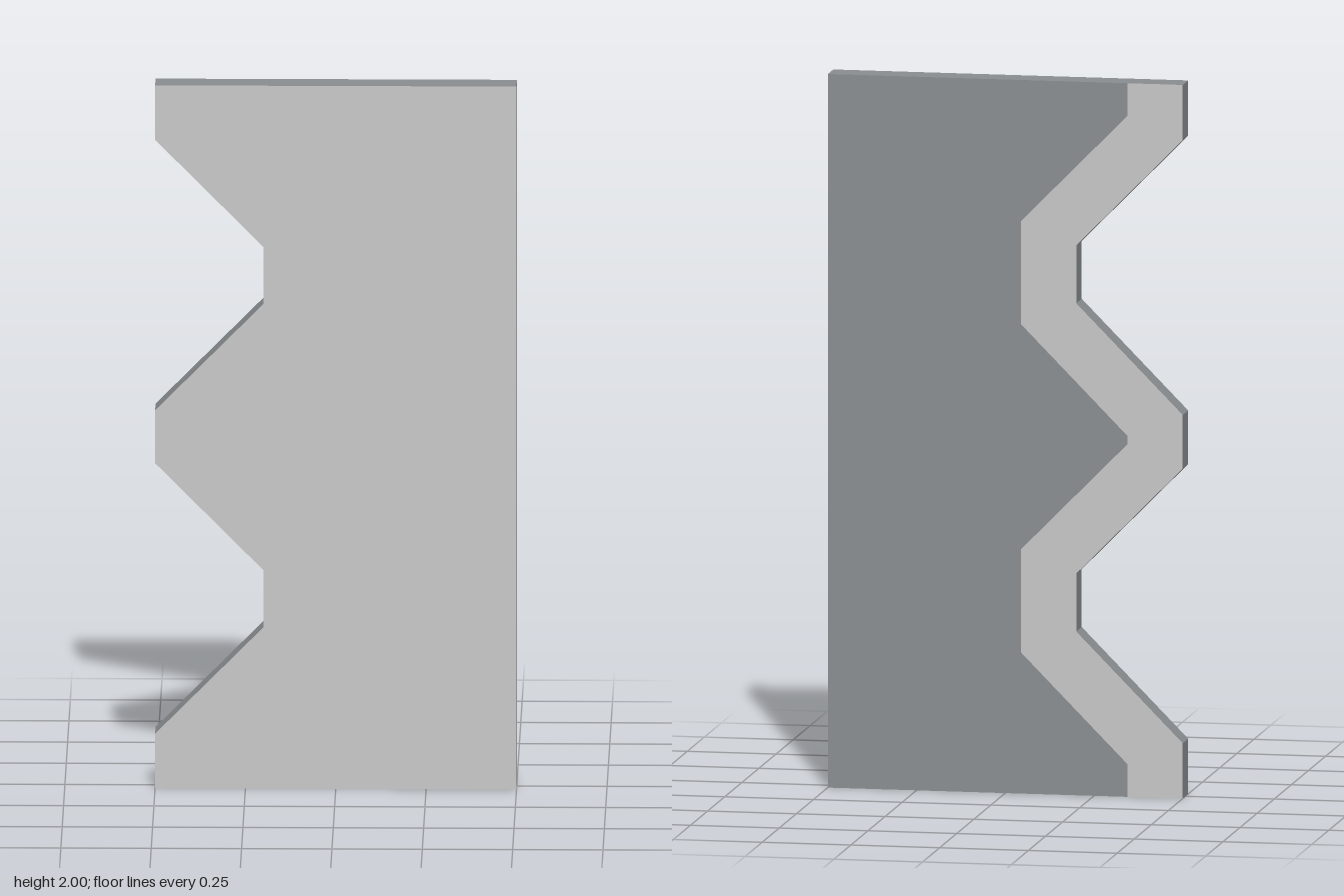
import * as THREE from 'three';

const HALF = 0.04; // half thickness
const BAND = 0.155; // width of the light band on the back

const light = new THREE.MeshStandardMaterial({ name: 'lightGrey', color: 0xc8c8c8 });
const dark = new THREE.MeshStandardMaterial({ name: 'slateGrey', color: 0x8a8e91 });

// Toothed edge from bottom to top, moved inwards by d with mitred corners
function toothedEdge(d) {
  const m = d * Math.tan(Math.PI / 8);
  const half = [[-0.5, 0.155 - m], [-0.2, 0.459 - m], [-0.2, 0.621 + m], [-0.5, 0.925 + m]];
  const upper = half.map(([x, y]) => [x, 2 - y]).reverse();
  return [[-0.5, 0], ...half, ...upper, [-0.5, 2]].map(([x, y]) => new THREE.Vector2(x + d, y));
}

// Flat face at depth z, facing forwards or backwards
function face(points, z, backwards) {
  const geo = new THREE.ShapeGeometry(new THREE.Shape(points));
  geo.translate(0, 0, z);
  if (backwards) {
    geo.index.array.reverse();
    geo.computeVertexNormals();
  }
  return geo;
}

// Narrow walls around a counter-clockwise outline
function walls(points) {
  const pos = [];
  points.forEach((p, i) => {
    const q = points[(i + 1) % points.length];
    pos.push(p.x, p.y, HALF, p.x, p.y, -HALF, q.x, q.y, -HALF);
    pos.push(p.x, p.y, HALF, q.x, q.y, -HALF, q.x, q.y, HALF);
  });
  const geo = new THREE.BufferGeometry();
  geo.setAttribute('position', new THREE.Float32BufferAttribute(pos, 3));
  geo.computeVertexNormals();
  return geo;
}

export function createModel() {
  const group = new THREE.Group();
  group.name = 'toothedPanel';
  const add = (name, geo, mat) => {
    const mesh = new THREE.Mesh(geo, mat);
    mesh.name = name;
    group.add(mesh);
  };
  const straight = [new THREE.Vector2(0.5, 0), new THREE.Vector2(0.5, 2)];
  const outer = toothedEdge(0);
  const inner = toothedEdge(BAND);
  const outline = [...straight, ...outer.slice().reverse()];

  add('frontFace', face(outline, HALF, false), light);
  add('edgeWalls', walls(outline), dark);
  // Back: dark field with a light band following the teeth
  add('backField', face([...straight, ...inner.slice().reverse()], -HALF, true), dark);
  add('backBand', face([...inner, ...outer.slice().reverse()], -HALF, true), light);
  return group;
}
